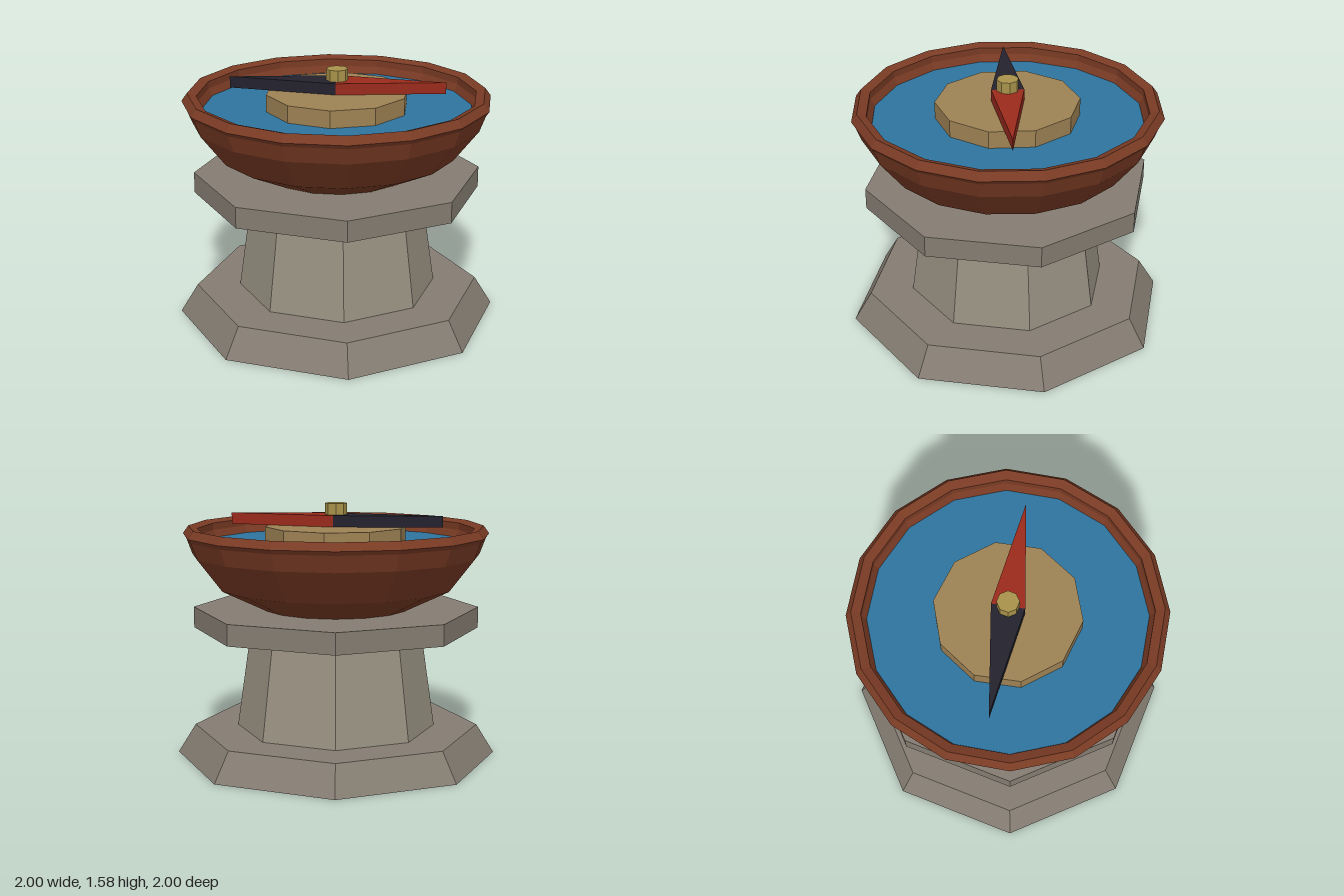
import * as THREE from 'three';

const mat = (color) => new THREE.MeshStandardMaterial({ color, flatShading: true });

export function createModel() {
  const group = new THREE.Group();

  const add = (name, geometry, material, y = 0) => {
    const mesh = new THREE.Mesh(geometry, material);
    mesh.name = name;
    mesh.position.y = y;
    group.add(mesh);
    return mesh;
  };
  // Faceted drum between two heights
  const drum = (name, rTop, rBottom, y0, y1, sides, material) =>
    add(name, new THREE.CylinderGeometry(rTop, rBottom, y1 - y0, sides), material, (y0 + y1) / 2);

  const stone = mat(0x857d72);
  const wood = mat(0x7a3b24);

  // Octagonal stone pedestal
  drum('pedestalBase', 0.89, 1, 0, 0.18, 8, stone);
  drum('pedestalColumn', 0.53, 0.62, 0.18, 0.805, 8, mat(0x979081));
  drum('pedestalCap', 0.887, 0.887, 0.805, 0.935, 8, stone);

  // Wooden bowl: outer wall up, over the lip and down inside
  const bowlProfile = [
    [0, 0.935], [0.455, 0.935], [0.737, 1.072], [0.89, 1.27], [0.935, 1.39],
    [0.86, 1.39], [0.83, 1.33], [0, 1.32],
  ].map(([r, y]) => new THREE.Vector2(r, y));
  add('bowl', new THREE.LatheGeometry(bowlProfile, 16), wood);

  // Five-sided rim ring
  const rim = new THREE.TorusGeometry(0.896, 0.05, 5, 16).rotateX(-Math.PI / 2);
  add('bowlRim', rim, wood, 1.396);

  // Dial face and raised centre
  drum('dialFace', 0.83, 0.83, 1.3, 1.337, 16, mat(0x2f74a0));
  drum('dialCentre', 0.44, 0.44, 1.33, 1.443, 10, mat(0x9e8254));

  // Two-coloured needle, each half a tapering wedge
  const needle = new THREE.Group();
  needle.name = 'needle';
  needle.position.y = 1.443;
  needle.rotation.y = THREE.MathUtils.degToRad(35);
  for (const [name, color, turn] of [['needleRedHalf', 0x9a2a1c, 0], ['needleDarkHalf', 0x23222e, Math.PI]]) {
    const shape = new THREE.Shape([
      new THREE.Vector2(0, -0.1), new THREE.Vector2(0.662, 0), new THREE.Vector2(0, 0.1),
    ]);
    const geometry = new THREE.ExtrudeGeometry(shape, { depth: 0.07, bevelEnabled: false });
    const half = new THREE.Mesh(geometry.rotateX(-Math.PI / 2), mat(color));
    half.name = name;
    half.rotation.y = turn;
    needle.add(half);
  }
  group.add(needle);

  // Brass pivot pin
  drum('pivotPin', 0.067, 0.067, 1.443, 1.583, 8, mat(0xa8924a));

  return group;
}
